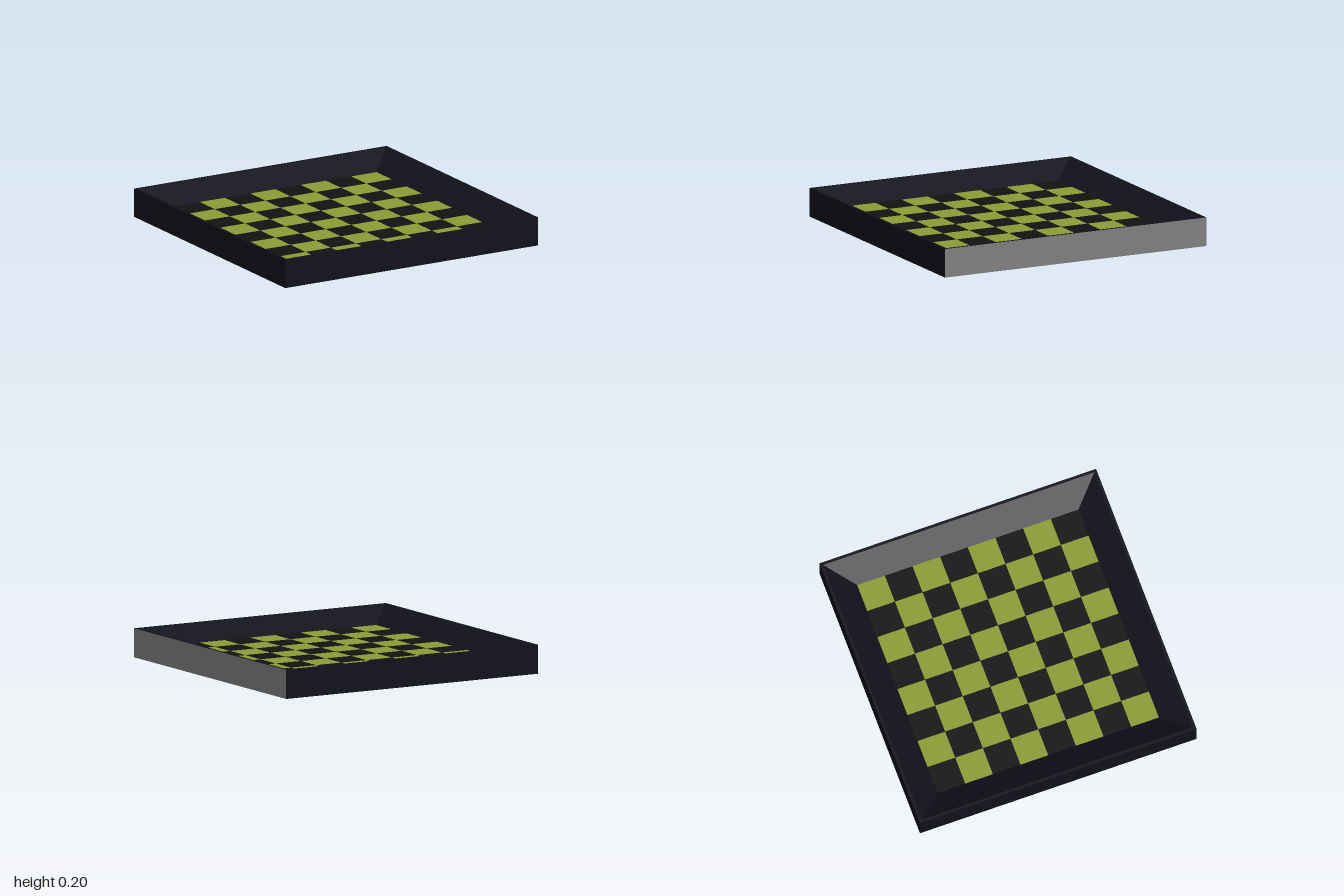
import * as THREE from 'three';

const FLOOR = 0.095; // height of the sunken playing field
const CELL = 0.2;

const material = (color) => new THREE.MeshStandardMaterial({ color, flatShading: true });

export function createModel() {
  const model = new THREE.Group();
  model.name = 'checkerBoard';

  // Tray: square ring with base, upright sides, narrow lip and sloped inner rim
  const profile = [[0, 0], [1, 0], [1, 0.2], [0.98, 0.2], [0.8, FLOOR]]
    .map(([half, y]) => new THREE.Vector2(half * Math.SQRT2, y));
  const trayGeometry = new THREE.LatheGeometry(profile, 4, Math.PI / 4).toNonIndexed();
  trayGeometry.computeVertexNormals();
  const tray = new THREE.Mesh(trayGeometry, material(0x11111b));
  tray.name = 'tray';
  model.add(tray);

  // Plain grey panel covering the left side
  const panel = new THREE.Mesh(new THREE.PlaneGeometry(2, 0.2), material(0x808080));
  panel.name = 'sidePanel';
  panel.rotation.y = Math.PI / 2;
  panel.position.set(1.0008, 0.1, 0);
  model.add(panel);

  // Eight by eight squares in alternating colours
  const squares = new THREE.Group();
  squares.name = 'squares';
  const squareGeometry = new THREE.PlaneGeometry(CELL, CELL).rotateX(-Math.PI / 2);
  const dark = material(0x121212);
  const light = material(0x8e9d36);
  for (let row = 0; row < 8; row++) {
    for (let column = 0; column < 8; column++) {
      const isLight = (row + column) % 2 === 1;
      const square = new THREE.Mesh(squareGeometry, isLight ? light : dark);
      square.name = isLight ? 'lightSquare' : 'darkSquare';
      square.position.set((column - 3.5) * CELL, FLOOR, (row - 3.5) * CELL);
      squares.add(square);
    }
  }
  model.add(squares);

  return model;
}
